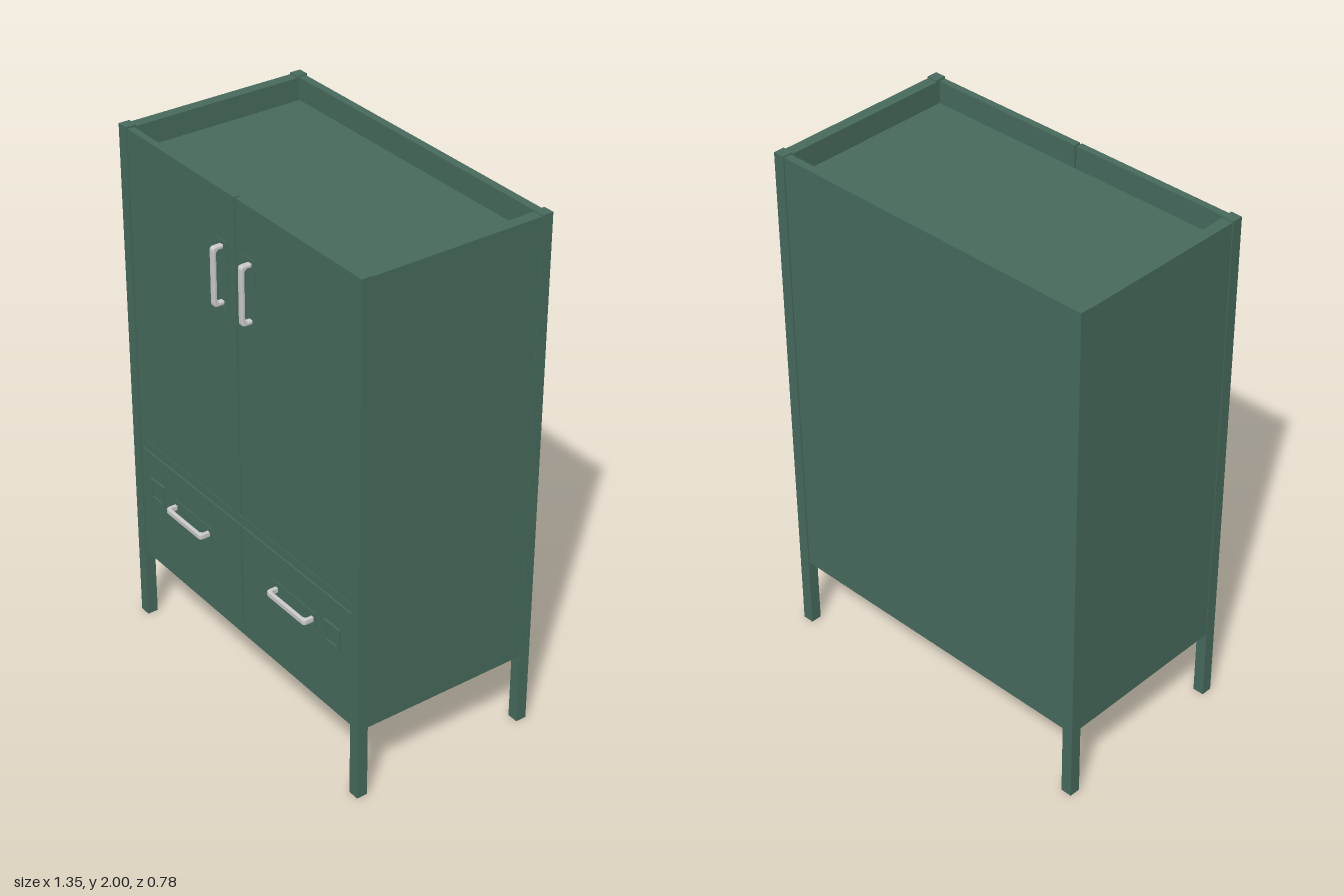
import * as THREE from 'three';

export function createModel() {
  const model = new THREE.Group();
  model.name = 'cabinet';
  const green = new THREE.MeshStandardMaterial({ color: 0x466a5c });
  green.name = 'green paint';
  const steel = new THREE.MeshStandardMaterial({ color: 0xcacaca });
  steel.name = 'pale steel';

  // Box given by its limits on each axis
  function box(name, x0, x1, y0, y1, z0, z1, parent = model) {
    const mesh = new THREE.Mesh(new THREE.BoxGeometry(x1 - x0, y1 - y0, z1 - z0), green);
    mesh.position.set((x0 + x1) / 2, (y0 + y1) / 2, (z0 + z1) / 2);
    mesh.name = name;
    parent.add(mesh);
    return mesh;
  }

  // Rectangle outline, optionally drawn clockwise for use as a hole
  function rect(path, w, h) {
    path.moveTo(-w / 2, -h / 2);
    path.lineTo(w / 2, -h / 2);
    path.lineTo(w / 2, h / 2);
    path.lineTo(-w / 2, h / 2);
    path.closePath();
    return path;
  }

  // Thin raised surround with an open middle
  function surround(name, w, h, rim, depth) {
    const shape = rect(new THREE.Shape(), w, h);
    shape.holes.push(rect(new THREE.Path(), w - 2 * rim, h - 2 * rim));
    const mesh = new THREE.Mesh(new THREE.ExtrudeGeometry(shape, { depth, bevelEnabled: false }), green);
    mesh.name = name;
    return mesh;
  }

  // U-shaped pull with chamfered outer corners, lying along x and standing out in z
  function pull(length) {
    const a = length / 2, t = 0.014, d = 0.042, c = 0.014;
    const shape = new THREE.Shape();
    shape.moveTo(-a, 0);
    shape.lineTo(-a, d - c);
    shape.quadraticCurveTo(-a, d, -a + c, d);
    shape.lineTo(a - c, d);
    shape.quadraticCurveTo(a, d, a, d - c);
    shape.lineTo(a, 0);
    shape.lineTo(a - t, 0);
    shape.lineTo(a - t, d - t - 0.008);
    shape.lineTo(a - t - 0.008, d - t);
    shape.lineTo(-a + t + 0.008, d - t);
    shape.lineTo(-a + t, d - t - 0.008);
    shape.lineTo(-a + t, 0);
    shape.closePath();
    const bevel = 0.004;
    const geometry = new THREE.ExtrudeGeometry(shape, {
      depth: 0.014, bevelThickness: bevel, bevelSize: bevel, bevelOffset: -bevel, bevelSegments: 2, curveSegments: 4,
    });
    geometry.translate(0, 0, -0.007);
    geometry.rotateX(Math.PI / 2);
    const mesh = new THREE.Mesh(geometry, steel);
    mesh.name = 'pull';
    return mesh;
  }

  function handle(name, x, y, length, plateLength, upright) {
    const group = new THREE.Group();
    group.name = name;
    group.add(surround('handleSurround', plateLength, 0.065, 0.008, 0.004), pull(length));
    if (upright) group.rotation.z = Math.PI / 2;
    group.position.set(x, y, 0.349);
    model.add(group);
  }

  // Closed carcass whose top sits below the rim
  box('carcass', -0.632, 0.632, 0.285, 1.91, -0.356, 0.325);
  box('backPanel', -0.632, 0.632, 0.285, 1.995, -0.385, -0.355);
  box('middleRail', -0.632, 0.632, 0.748, 0.782, 0.32, 0.348);
  box('bottomRail', -0.632, 0.632, 0.285, 0.322, 0.32, 0.349);

  for (const s of [-1, 1]) {
    const side = s > 0 ? 'left' : 'right';
    const span = (a, b) => (s > 0 ? [a, b] : [-b, -a]);
    // Posts and side panels
    box(side + 'FrontPost', ...span(0.632, 0.675), 0, 2, 0.313, 0.355);
    box(side + 'BackPost', ...span(0.632, 0.675), 0, 2, -0.39, -0.348);
    box(side + 'SidePanel', ...span(0.63, 0.672), 0.285, 1.995, -0.349, 0.314);
    // Door and drawer front, parted by a narrow gap
    box(side + 'Door', ...span(0.004, 0.628), 0.787, 1.995, 0.324, 0.35);
    box(side + 'DrawerFront', ...span(0.004, 0.628), 0.322, 0.744, 0.324, 0.35);
    handle(side + 'DoorHandle', s * 0.08, 1.688, 0.22, 0.255, true);
    handle(side + 'DrawerHandle', s * 0.31, 0.598, 0.22, 0.245, false);
    // Square lock plate with a raised border
    const lock = new THREE.Group();
    lock.name = side + 'LockPlate';
    lock.position.set(s * 0.528, 0.6, 0.349);
    lock.add(surround('lockBorder', 0.088, 0.088, 0.014, 0.008));
    box('lockFace', -0.03, 0.03, -0.03, 0.03, 0, 0.003, lock);
    model.add(lock);
  }
  return model;
}
